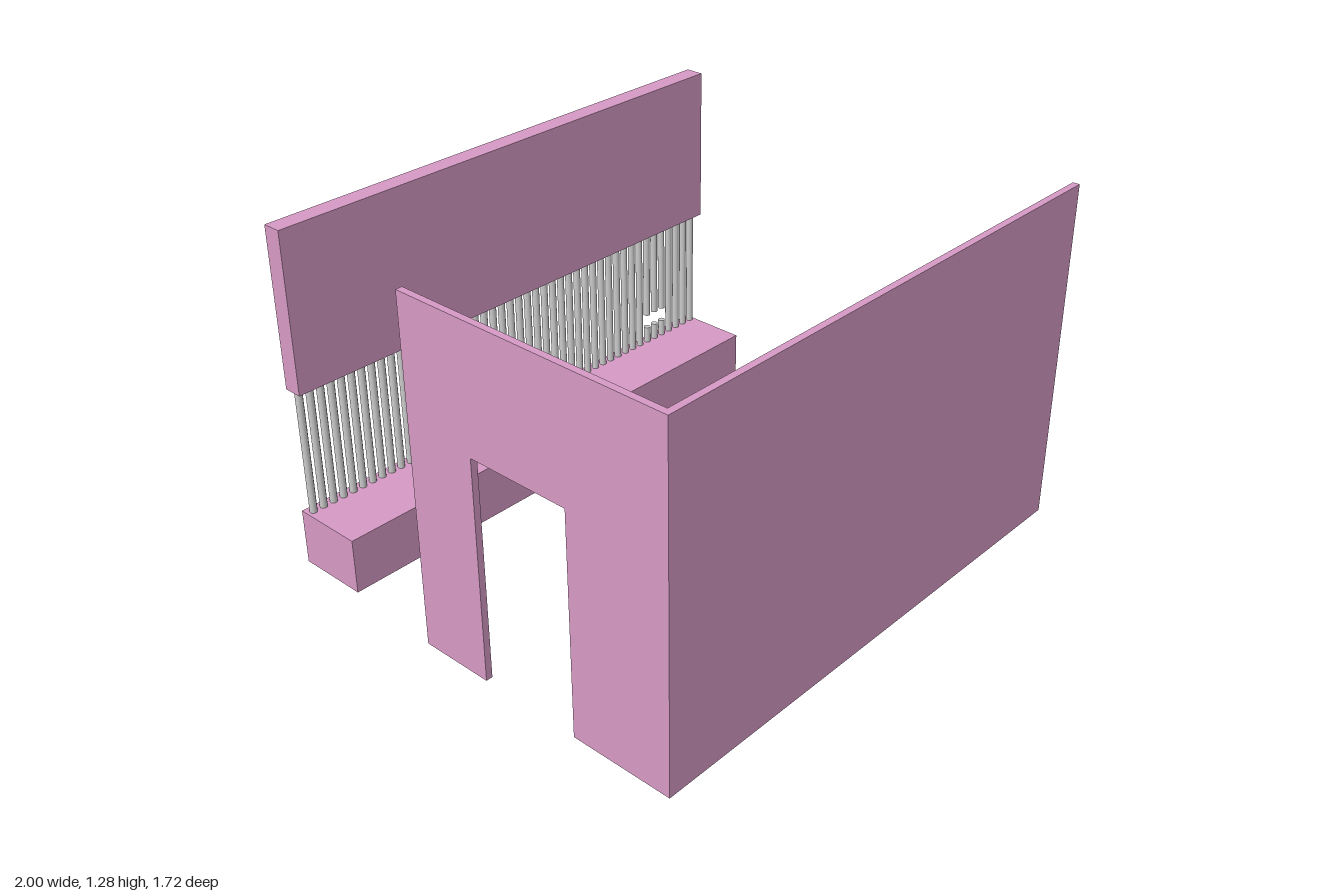
import * as THREE from 'three';

const pink = new THREE.MeshStandardMaterial({ color: 0xd69ac5 });
const grey = new THREE.MeshStandardMaterial({ color: 0xcccccc });

// Box given by its minimum and maximum corners
function block(name, material, [x0, y0, z0], [x1, y1, z1]) {
  const mesh = new THREE.Mesh(new THREE.BoxGeometry(x1 - x0, y1 - y0, z1 - z0), material);
  mesh.name = name;
  mesh.position.set((x0 + x1) / 2, (y0 + y1) / 2, (z0 + z1) / 2);
  return mesh;
}

// Side wall with a doorway, drawn in the z-y plane and extruded along x
function doorWall() {
  const outline = [[-0.835, 0], [-0.47, 0], [-0.47, 0.825], [-0.08, 0.825], [-0.08, 0],
    [0.2, 0], [0.2, 1.28], [-0.835, 1.28]];
  const shape = new THREE.Shape(outline.map(([u, v]) => new THREE.Vector2(u, v)));
  const geometry = new THREE.ExtrudeGeometry(shape, { depth: 0.025, bevelEnabled: false });
  geometry.rotateY(Math.PI / 2).translate(-1, 0, 0);
  const mesh = new THREE.Mesh(geometry, pink);
  mesh.name = 'doorWall';
  return mesh;
}

// Shallow coloured tray: raised rim around a slightly lower floor
function tray(name, color, x0, x1) {
  const material = new THREE.MeshStandardMaterial({ color });
  const group = new THREE.Group();
  group.name = name;
  const z0 = 0.71, z1 = 0.818, y0 = 0.2, y1 = 0.211, t = 0.012;
  group.add(
    block('trayFloor', material, [x0 + t, y0, z0 + t], [x1 - t, 0.207, z1 - t]),
    block('trayRimBack', material, [x0, y0, z0], [x1, y1, z0 + t]),
    block('trayRimFront', material, [x0, y0, z1 - t], [x1, y1, z1]),
    block('trayRimRight', material, [x0, y0, z0 + t], [x0 + t, y1, z1 - t]),
    block('trayRimLeft', material, [x1 - t, y0, z0 + t], [x1, y1, z1 - t]),
  );
  return group;
}

// Row of bars, three of them interrupted by a small hatch
function barRow() {
  const group = new THREE.Group();
  group.name = 'bars';
  const bar = (x, y0, y1) => {
    const mesh = new THREE.Mesh(new THREE.CylinderGeometry(0.0135, 0.0135, y1 - y0, 12), grey);
    mesh.name = 'bar';
    mesh.position.set(x, (y0 + y1) / 2, -0.828);
    group.add(mesh);
  };
  const count = 46;
  for (let i = 0; i < count; i++) {
    const x = -0.955 + (1.93 * i) / (count - 1);
    if (x > 0.7 && x < 0.83) {
      bar(x, 0.2, 0.275);
      bar(x, 0.33, 0.69);
    } else {
      bar(x, 0.2, 0.69);
    }
  }
  return group;
}

export function createModel() {
  const model = new THREE.Group();
  model.name = 'stall';
  model.add(
    // Front and side walls
    block('frontWall', pink, [-1, 0, 0.835], [1, 1.28, 0.86]),
    doorWall(),
    // Counter with trays
    block('counter', grey, [-0.94, 0, 0.64], [0.955, 0.205, 0.835]),
    tray('blueTray', 0x6cb2dd, -0.81, -0.36),
    tray('greenTray', 0x6cdd6c, -0.212, 0.235),
    tray('yellowTray', 0xd9d96c, 0.375, 0.828),
    // Barred rear wall
    block('rearLedge', pink, [-0.98, 0, -0.86], [0.995, 0.21, -0.588]),
    block('rearUpperWall', pink, [-0.98, 0.69, -0.857], [0.995, 1.28, -0.787]),
    barRow(),
  );
  return model;
}
